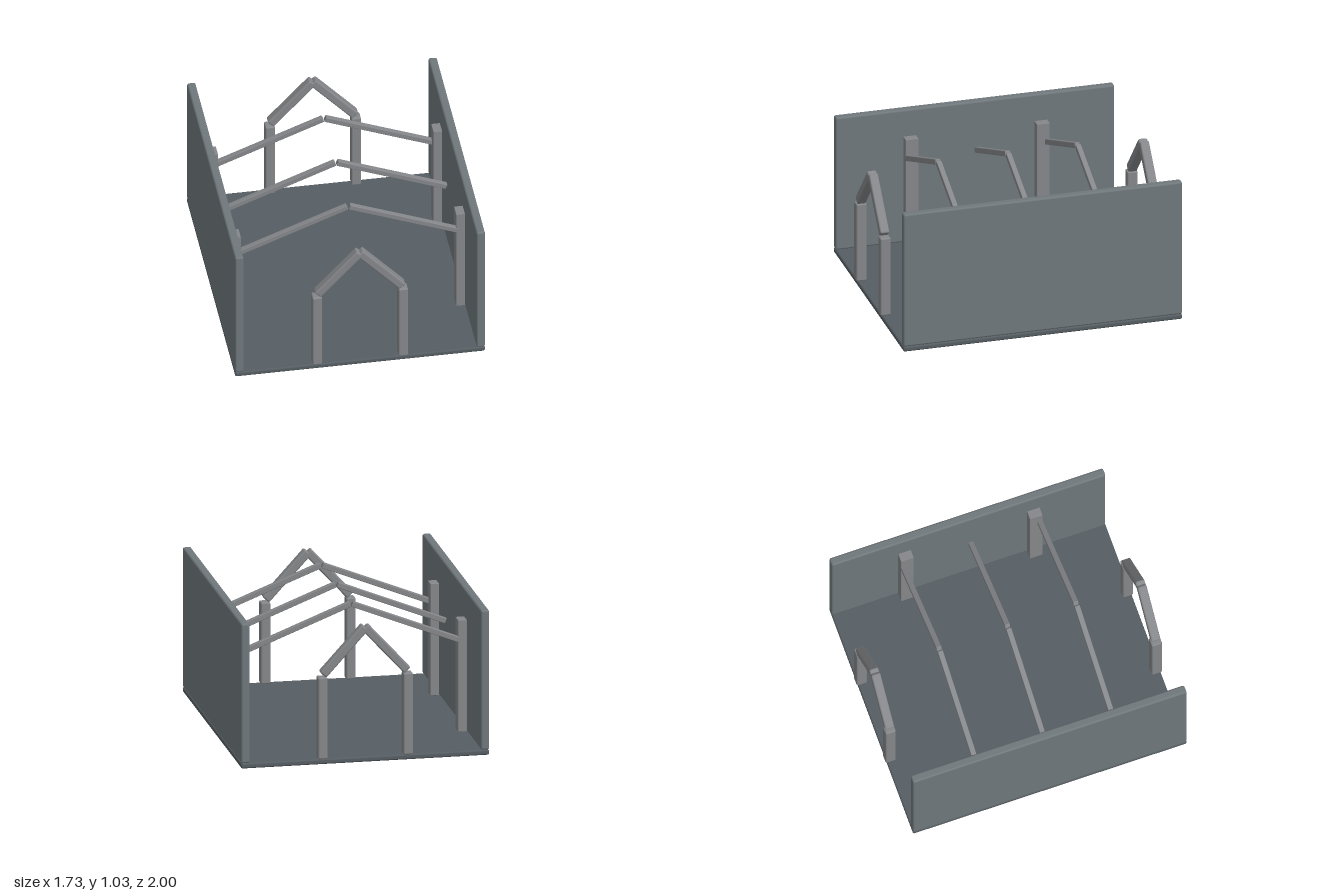
import * as THREE from 'three';
import { RoundedBoxGeometry } from 'three/addons/geometries/RoundedBoxGeometry.js';

const slate = new THREE.MeshStandardMaterial({ color: 0x70787c });
const stone = new THREE.MeshStandardMaterial({ color: 0x565e63 });
const timber = new THREE.MeshStandardMaterial({ color: 0x85878a });

// Softened box given by its extents on each axis
function block(name, [x0, x1], [y0, y1], [z0, z1], radius, material) {
  const geometry = new RoundedBoxGeometry(x1 - x0, y1 - y0, z1 - z0, 2, radius);
  const mesh = new THREE.Mesh(geometry, material);
  mesh.position.set((x0 + x1) / 2, (y0 + y1) / 2, (z0 + z1) / 2);
  mesh.name = name;
  return mesh;
}

// Beam running between two points in the plane z, with square-cut ends
function beam(name, [ax, ay], [bx, by], z, thickness, depth, radius) {
  const length = Math.hypot(bx - ax, by - ay);
  const mesh = new THREE.Mesh(new RoundedBoxGeometry(length, thickness, depth, 2, radius), timber);
  mesh.position.set((ax + bx) / 2, (ay + by) / 2, z);
  mesh.rotation.z = Math.atan2(by - ay, bx - ax);
  mesh.name = name;
  return mesh;
}

// Range mirrored to either side of zero
const span = (s, near, far) => (s > 0 ? [near, far] : [-far, -near]);

export function createModel() {
  const model = new THREE.Group();
  model.name = 'openHall';

  // Floor slab
  model.add(block('floor', [-0.865, 0.865], [0, 0.037], [-0.99, 0.99], 0.012, stone));

  for (const s of [-1, 1]) {
    const side = s > 0 ? 'left' : 'right';

    // Long side wall
    model.add(block(side + 'Wall', span(s, 0.806, 0.865), [0.037, 1.027], [-0.99, 0.99], 0.014, slate));

    // Posts standing against the wall
    for (const e of [-1, 1]) {
      model.add(block(side + 'WallPost', span(s, 0.745, 0.806), [0.037, 0.83], span(e, 0.42, 0.512), 0.004, timber));
    }

    // Slim roof rafters, the middle pair without posts
    for (const z of [-0.495, 0, 0.495]) {
      model.add(beam(side + 'Rafter', [s * 0.763, 0.686], [s * 0.007, 0.986], z, 0.038, 0.037, 0.005));
    }

    // Gabled doorway at each end: upright and sloping head
    for (const e of [-1, 1]) {
      const end = e > 0 ? 'front' : 'back';
      model.add(block(end + 'DoorPost', span(s, 0.264, 0.331), [0.037, 0.617], span(e, 0.925, 1), 0.012, timber));
      model.add(beam(end + 'DoorGable', [s * 0.294, 0.632], [0, 0.954], e * 0.9625, 0.06, 0.065, 0.012));
    }
  }
  return model;
}
